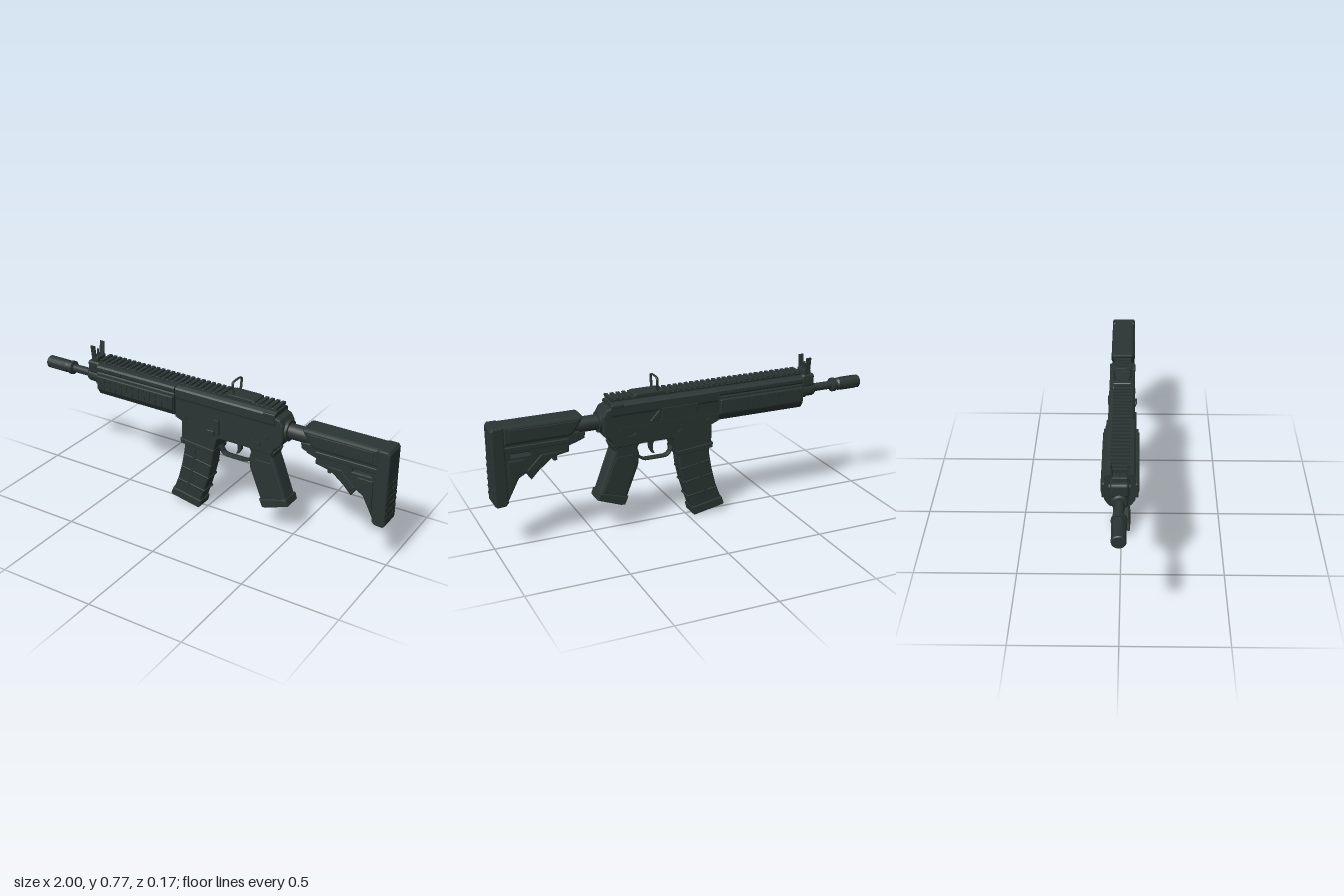
import * as THREE from 'three';
import { RoundedBoxGeometry } from 'three/addons/geometries/RoundedBoxGeometry.js';

const gunmetal = new THREE.MeshStandardMaterial({ color: 0x2a3533 });
gunmetal.name = 'dark gunmetal';

export function createModel() {
  const root = new THREE.Group();
  const AXIS = 0.578; // height of the bore

  function add(name, geometry, x = 0, y = 0, z = 0) {
    const mesh = new THREE.Mesh(geometry, gunmetal);
    mesh.name = name;
    mesh.position.set(x, y, z);
    root.add(mesh);
    return mesh;
  }
  // box given by its x and y limits, its depth and its middle z
  function box(name, x0, x1, y0, y1, depth, z = 0, r = 0) {
    const w = x1 - x0, h = y1 - y0;
    const g = r ? new RoundedBoxGeometry(w, h, depth, 2, r) : new THREE.BoxGeometry(w, h, depth);
    return add(name, g, (x0 + x1) / 2, (y0 + y1) / 2, z);
  }
  function bothSides(fn) { for (const s of [1, -1]) fn(s); }

  const vectors = pts => pts.map(p => new THREE.Vector2(...p));
  // side outline (x, y) thickened evenly about z
  function plate(name, pts, half, { bevel = 0.006, z = 0, holes = [] } = {}) {
    const shape = new THREE.Shape(vectors(pts));
    for (const h of holes) shape.holes.push(new THREE.Path(vectors(h)));
    const depth = 2 * (half - bevel);
    const g = new THREE.ExtrudeGeometry(shape, {
      depth, bevelEnabled: bevel > 0, bevelSize: bevel, bevelOffset: -bevel,
      bevelThickness: bevel, bevelSegments: 2 });
    g.translate(0, 0, -depth / 2);
    return add(name, g, 0, 0, z);
  }
  // mirrored half cross-section (z, y), bottom to top, drawn out along x
  function bar(name, half, x0, x1) {
    const pts = [...half, ...half.map(([z, y]) => [-z, y]).reverse()];
    const g = new THREE.ExtrudeGeometry(new THREE.Shape(vectors(pts)), { depth: x1 - x0, bevelEnabled: false });
    g.rotateY(Math.PI / 2);
    return add(name, g, x0);
  }
  // turned part along x from [x, radius] pairs
  function turned(name, steps, y = AXIS) {
    for (let i = 0; i < steps.length - 1; i++) {
      const [x0, r0] = steps[i], [x1, r1] = steps[i + 1];
      if (x1 === x0) continue;
      const g = new THREE.CylinderGeometry(r1, r0, x1 - x0, 24);
      g.rotateZ(-Math.PI / 2);
      add(name, g, (x0 + x1) / 2, y);
    }
  }
  function pin(name, x, y, r, z, length = 0.01) {
    const g = new THREE.CylinderGeometry(r, r, length, 16);
    g.rotateX(Math.PI / 2);
    add(name, g, x, y, z);
  }

  // Barrel and muzzle device
  turned('muzzleDevice', [[-1, 0.029], [-0.995, 0.033], [-0.875, 0.033], [-0.865, 0.027],
    [-0.855, 0.027], [-0.855, 0.036], [-0.838, 0.036], [-0.832, 0.022]]);
  turned('barrel', [[-0.835, 0.021], [-0.6, 0.021]]);
  for (let i = 0; i < 6; i++) {
    const a = i * Math.PI / 3;
    const rib = add('muzzleRib', new THREE.BoxGeometry(0.085, 0.005, 0.012), -0.935,
      AXIS + 0.032 * Math.cos(a), 0.032 * Math.sin(a));
    rib.rotation.x = a;
  }

  // Gas block
  turned('gasBlockCollar', [[-0.725, 0.032], [-0.715, 0.038], [-0.67, 0.038], [-0.67, 0.043], [-0.625, 0.043]]);
  box('gasBlock', -0.712, -0.64, 0.6, 0.668, 0.085, 0, 0.014);
  box('gasBlockNeck', -0.695, -0.63, 0.56, 0.62, 0.06);
  bothSides(s => pin('gasBlockScrew', -0.675, 0.637, 0.014, s * 0.043));

  // Front sight
  box('frontSightBase', -0.69, -0.65, 0.665, 0.692, 0.07, 0, 0.004);
  box('frontSightPost', -0.678, -0.668, 0.69, 0.726, 0.006);
  bothSides(s => {
    const ear = box('frontSightEar', -0.687, -0.66, 0.688, 0.755, 0.006, s * 0.036);
    ear.rotation.x = s * 0.12;
  });

  // Handguard
  bar('handguard', [[0.04, 0.498], [0.052, 0.506], [0.07, 0.535], [0.07, 0.625], [0.066, 0.632],
    [0.07, 0.64], [0.07, 0.656], [0.062, 0.664], [0.045, 0.668]], -0.63, -0.155);
  box('lowerRail', -0.62, -0.17, 0.492, 0.502, 0.045);
  bothSides(s => {
    box('sidePanel', -0.625, -0.158, 0.54, 0.616, 0.02, s * 0.073, 0.006);
    for (let i = 0; i < 12; i++) {
      const x = -0.592 + i * 0.0355;
      box('panelRib', x, x + 0.017, 0.547, 0.609, 0.006, s * 0.083);
    }
    box('panelEdge', -0.625, -0.158, 0.573, 0.583, 0.004, s * 0.083);
    for (let i = 0; i < 6; i++) {
      const x = -0.6 + i * 0.073;
      box('ventRidge', x, x + 0.05, 0.643, 0.652, 0.004, s * 0.071);
    }
  });

  // Top rail with cross slats
  bar('topRail', [[0.036, 0.655], [0.034, 0.672], [0.043, 0.679], [0.038, 0.682]], -0.63, 0.4);
  for (let x = -0.628; x < 0.395; x += 0.03) box('railSlat', x, x + 0.017, 0.677, 0.691, 0.086);

  // Receiver
  plate('receiver', [[-0.157, 0.642], [-0.157, 0.5], [-0.12, 0.485], [-0.118, 0.37], [0.065, 0.352],
    [0.085, 0.43], [0.1, 0.445], [0.25, 0.445], [0.39, 0.437], [0.41, 0.475], [0.445, 0.505],
    [0.452, 0.53], [0.452, 0.605], [0.435, 0.635], [0.41, 0.645]], 0.06);
  bar('receiverTop', [[0.06, 0.6], [0.064, 0.612], [0.064, 0.652], [0.058, 0.66], [0.042, 0.668]], -0.153, 0.41);
  plate('magazineWellLip', [[-0.125, 0.392], [-0.122, 0.365], [0.068, 0.348], [0.073, 0.373]], 0.065, { bevel: 0.004 });
  box('chargingHandle', 0.345, 0.41, 0.642, 0.662, 0.13, 0, 0.005);
  bothSides(s => {
    box('receiverSeam', -0.15, 0.37, 0.535, 0.541, 0.006, s * 0.06);
    for (const [x, y] of [[-0.1, 0.51], [0.36, 0.525]]) pin('takedownPin', x, y, 0.013, s * 0.06, 0.012);
    for (const [x, y] of [[0.17, 0.478], [0.23, 0.495]]) pin('triggerPin', x, y, 0.008, s * 0.06, 0.007);
    pin('selectorHub', 0.29, 0.49, 0.016, s * 0.062, 0.014);
    const lever = box('selectorLever', 0.285, 0.335, 0.484, 0.497, 0.008, s * 0.07);
    lever.rotation.z = -0.15;
  });
  // Controls on the +z side
  plate('boltCatch', [[0.08, 0.55], [0.08, 0.51], [0.087, 0.47], [0.105, 0.47], [0.105, 0.55]], 0.007, { z: 0.065, bevel: 0.002 });
  box('magazineCatch', 0.035, 0.075, 0.455, 0.485, 0.014, 0.063, 0.004);
  // Ejection port and controls on the -z side
  box('ejectionPortCover', -0.04, 0.15, 0.552, 0.612, 0.008, -0.062, 0.003);
  box('portHinge', -0.05, 0.16, 0.545, 0.555, 0.012, -0.062);
  plate('caseDeflector', [[0.165, 0.61], [0.165, 0.555], [0.215, 0.555]], 0.008, { z: -0.063, bevel: 0.003 });
  pin('magazineButton', 0.055, 0.475, 0.013, -0.063, 0.014);

  // Rear sight
  plate('rearSightBase', [[0.12, 0.675], [0.29, 0.675], [0.29, 0.685], [0.275, 0.695], [0.14, 0.695]], 0.045, { bevel: 0.004 });
  const hoop = [[0.685, 0.035], [0.715, 0.037], [0.745, 0.042], [0.757, 0.039], [0.761, 0.03]];
  const hoopPath = new THREE.CatmullRomCurve3([...hoop, ...hoop.map(([y, z]) => [y, -z]).reverse()]
    .map(([y, z]) => new THREE.Vector3(0, y, z)));
  const hoopMesh = add('rearSightHoop', new THREE.TubeGeometry(hoopPath, 40, 0.0035, 8), 0.165);
  hoopMesh.scale.x = 2;

  // Trigger guard and trigger
  const guard = new THREE.CurvePath();
  const v = (x, y) => new THREE.Vector3(x, y, 0);
  guard.add(new THREE.LineCurve3(v(0.075, 0.385), v(0.087, 0.36)));
  guard.add(new THREE.QuadraticBezierCurve3(v(0.087, 0.36), v(0.095, 0.34), v(0.12, 0.338)));
  guard.add(new THREE.LineCurve3(v(0.12, 0.338), v(0.215, 0.338)));
  guard.add(new THREE.QuadraticBezierCurve3(v(0.215, 0.338), v(0.245, 0.34), v(0.275, 0.385)));
  add('triggerGuard', new THREE.TubeGeometry(guard, 40, 0.007, 8)).scale.z = 3;
  plate('trigger', [[0.165, 0.45], [0.178, 0.41], [0.18, 0.385], [0.17, 0.362], [0.183, 0.366],
    [0.197, 0.388], [0.2, 0.42], [0.205, 0.45]], 0.012, { bevel: 0.002 });

  // Pistol grip
  plate('grip', [[0.25, 0.455], [0.272, 0.42], [0.262, 0.385], [0.268, 0.33], [0.335, 0.16], [0.475, 0.205],
    [0.405, 0.395], [0.395, 0.42], [0.41, 0.455]], 0.048, { bevel: 0.014 });
  plate('gripBase', [[0.328, 0.172], [0.345, 0.132], [0.365, 0.132], [0.488, 0.178], [0.478, 0.212], [0.455, 0.21]], 0.052);
  bothSides(s => plate('gripPanel', [[0.288, 0.335], [0.348, 0.185], [0.455, 0.222], [0.385, 0.39], [0.3, 0.39]],
    0.004, { z: s * 0.048, bevel: 0.002 }));

  // Curved magazine from its front and rear edges
  const magFront = [[-0.115, 0.38], [-0.118, 0.32], [-0.132, 0.24], [-0.155, 0.15], [-0.192, 0.05]];
  const magRear = [[-0.03, 0.022], [0.0, 0.11], [0.028, 0.2], [0.046, 0.28], [0.058, 0.38]];
  plate('magazine', [...magFront, ...magRear], 0.04, { bevel: 0.007 });
  plate('magazineFloor', [[-0.187, 0.075], [-0.2, 0.038], [-0.192, 0.03], [-0.035, 0], [-0.025, 0.008], [-0.016, 0.044]], 0.045, { bevel: 0.005 });
  for (const [x, y] of [[-0.038, 0.275], [-0.053, 0.2], [-0.076, 0.12]]) {
    add('magazineRib', new RoundedBoxGeometry(0.165, 0.011, 0.086, 2, 0.003), x, y).rotation.z = -0.16;
  }
  bothSides(s => plate('magazineSpine', [[-0.06, 0.35], [-0.065, 0.28], [-0.085, 0.18], [-0.115, 0.075],
    [-0.1, 0.072], [-0.07, 0.18], [-0.05, 0.28], [-0.045, 0.35]], 0.003, { z: s * 0.04, bevel: 0 }));

  // Tube carrying the stock
  turned('stockTube', [[0.44, 0.052], [0.465, 0.052], [0.465, 0.038], [0.6, 0.038]], 0.568);
  plate('stockTubeLug', [[0.53, 0.54], [0.535, 0.505], [0.56, 0.495], [0.6, 0.5], [0.6, 0.54]], 0.025);

  // Shoulder stock
  plate('stockTop', [[0.55, 0.625], [0.56, 0.6], [0.6, 0.545], [0.625, 0.535], [0.94, 0.535], [0.94, 0.63], [0.56, 0.63]], 0.058, { bevel: 0.014 });
  bothSides(s => plate('cheekPanel', [[0.585, 0.61], [0.62, 0.56], [0.64, 0.552], [0.915, 0.552], [0.915, 0.612]],
    0.004, { z: s * 0.058, bevel: 0.002 }));
  plate('stockFrame', [[0.565, 0.55], [0.57, 0.5], [0.62, 0.485], [0.62, 0.455], [0.7, 0.44], [0.77, 0.385],
    [0.81, 0.343], [0.835, 0.38], [0.87, 0.36], [0.93, 0.245], [0.945, 0.245], [0.945, 0.55]], 0.042,
  { holes: [[[0.81, 0.485], [0.905, 0.485], [0.905, 0.472], [0.81, 0.472]]] });
  bothSides(s => {
    plate('stockWeb', [[0.64, 0.465], [0.72, 0.455], [0.81, 0.37], [0.83, 0.395], [0.76, 0.465]], 0.006, { z: s * 0.044, bevel: 0.003 });
    plate('stockStrut', [[0.84, 0.455], [0.92, 0.455], [0.92, 0.28], [0.9, 0.33]], 0.006, { z: s * 0.044, bevel: 0.003 });
    box('stockStep', 0.62, 0.94, 0.5, 0.525, 0.012, s * 0.044, 0.004);
  });
  box('adjustmentLever', 0.62, 0.76, 0.45, 0.468, 0.05, 0, 0.006);
  box('adjustmentKnob', 0.672, 0.692, 0.41, 0.455, 0.03, 0, 0.004);
  plate('buttPad', [[0.935, 0.625], [0.94, 0.63], [0.986, 0.63], [0.997, 0.615], [0.997, 0.245], [0.986, 0.233],
    [0.945, 0.236], [0.93, 0.25]], 0.061, { bevel: 0.008 });
  for (let i = 0; i < 6; i++) {
    const y = 0.27 + i * 0.035;
    box('buttPadRidge', 0.985, 1, y, y + 0.014, 0.1);
  }
  return root;
}
